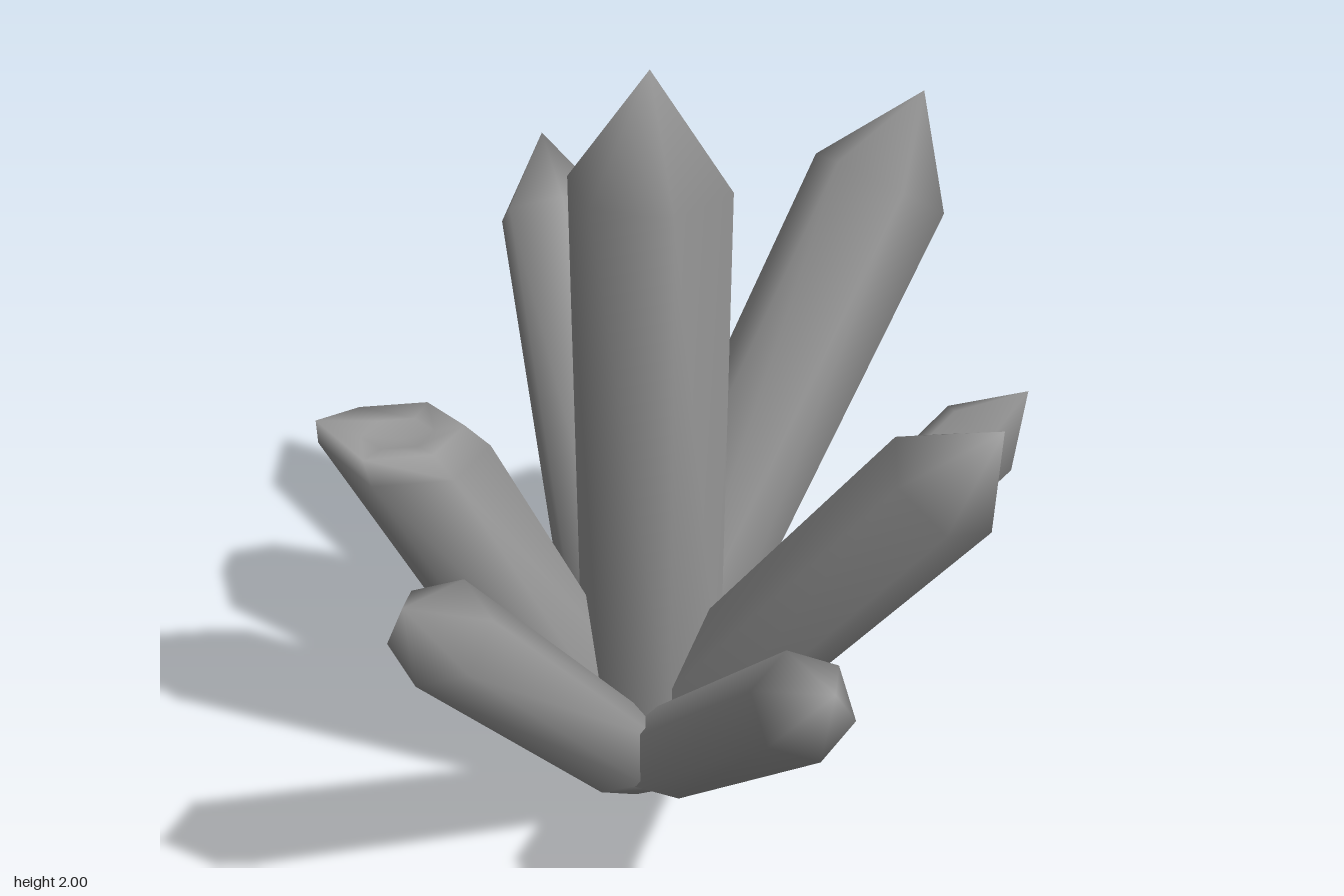
import * as THREE from 'three';
import { mergeVertices } from 'three/addons/utils/BufferGeometryUtils.js';

const SIDES = 6;

// Six-sided lathe with shared vertices, so the shading runs smoothly over the edges
function hexLathe(profile, reshape) {
  const points = profile.map(([x, y]) => new THREE.Vector2(x, y));
  let geometry = new THREE.LatheGeometry(points, SIDES);
  geometry.deleteAttribute('normal');
  geometry.deleteAttribute('uv');
  if (reshape) {
    const pos = geometry.attributes.position;
    const v = new THREE.Vector3();
    for (let i = 0; i < pos.count; i++) {
      v.fromBufferAttribute(pos, i);
      reshape(v);
      pos.setXYZ(i, v.x, v.y, v.z);
    }
  }
  geometry = mergeVertices(geometry, 1e-4);
  geometry.computeVertexNormals();
  return geometry;
}

// Bevelled root shared by all crystals
const root = (r) => [[0, -0.08], [r * 0.6, -0.05], [r * 0.93, 0.15]];

// Whole crystal: straight shaft and pointed end
function pointedCrystal(r, length) {
  return hexLathe([...root(r), [r, length - r * 1.42], [0, length]]);
}

// Snapped crystal: slanting hollow break with a splinter on the outer side
function brokenCrystal(r, length) {
  const profile = [...root(r), [r, length - 0.07], [r * 0.85, length], [r * 0.45, length - 0.01], [0, length - 0.03]];
  return hexLathe(profile, (v) => {
    if (v.y < length * 0.8) return;
    const out = v.z / r;
    v.y += out * 0.09;
    if (out > 0.8) v.y += 0.05;
  });
}

export function createModel() {
  const model = new THREE.Group();
  model.name = 'crystalCluster';
  const stone = new THREE.MeshStandardMaterial({ color: 0x999999 });
  stone.name = 'greyStone';

  // name, root, tip, radius, spin about its own axis
  const crystals = [
    ['centreCrystal', [0, 0.13, -0.03], [0, 2, -0.03], 0.202, 1.68],
    ['tallLeftCrystal', [-0.06, 0.1, -0.1], [0.99, 1.67, -0.1], 0.188, 0],
    ['lowLeftCrystal', [0.04, 0.13, 0.02], [0.99, 0.96, 0.34], 0.125, 0],
    ['frontLeftCrystal', [0, 0.1, -0.02], [0.36, 1.28, 0.81], 0.16, 0],
    ['frontRightCrystal', [-0.08, 0.1, 0.05], [-0.32, 0.95, 0.98], 0.13, 0],
    ['rightCrystal', [-0.1, 0.1, 0.05], [-1, 1.14, 0.34], 0.13, 0],
    ['brokenCrystal', [-0.1, 0.1, -0.1], [-0.53, 1.09, -0.37], 0.178, 0],
    ['backCrystal', [-0.03, 0.1, -0.07], [0.41, 1.42, -0.99], 0.155, 0],
  ];

  for (const [name, from, to, r, spin] of crystals) {
    const start = new THREE.Vector3(...from);
    const axis = new THREE.Vector3(...to).sub(start);
    const build = name === 'brokenCrystal' ? brokenCrystal : pointedCrystal;
    const mesh = new THREE.Mesh(build(r, axis.length()), stone);
    mesh.name = name;
    // Lean outwards, keeping one edge of the prism uppermost
    mesh.position.copy(start);
    mesh.rotation.set(Math.atan2(Math.hypot(axis.x, axis.z), axis.y), Math.atan2(axis.x, axis.z) + spin, 0, 'YXZ');
    model.add(mesh);
  }
  return model;
}
